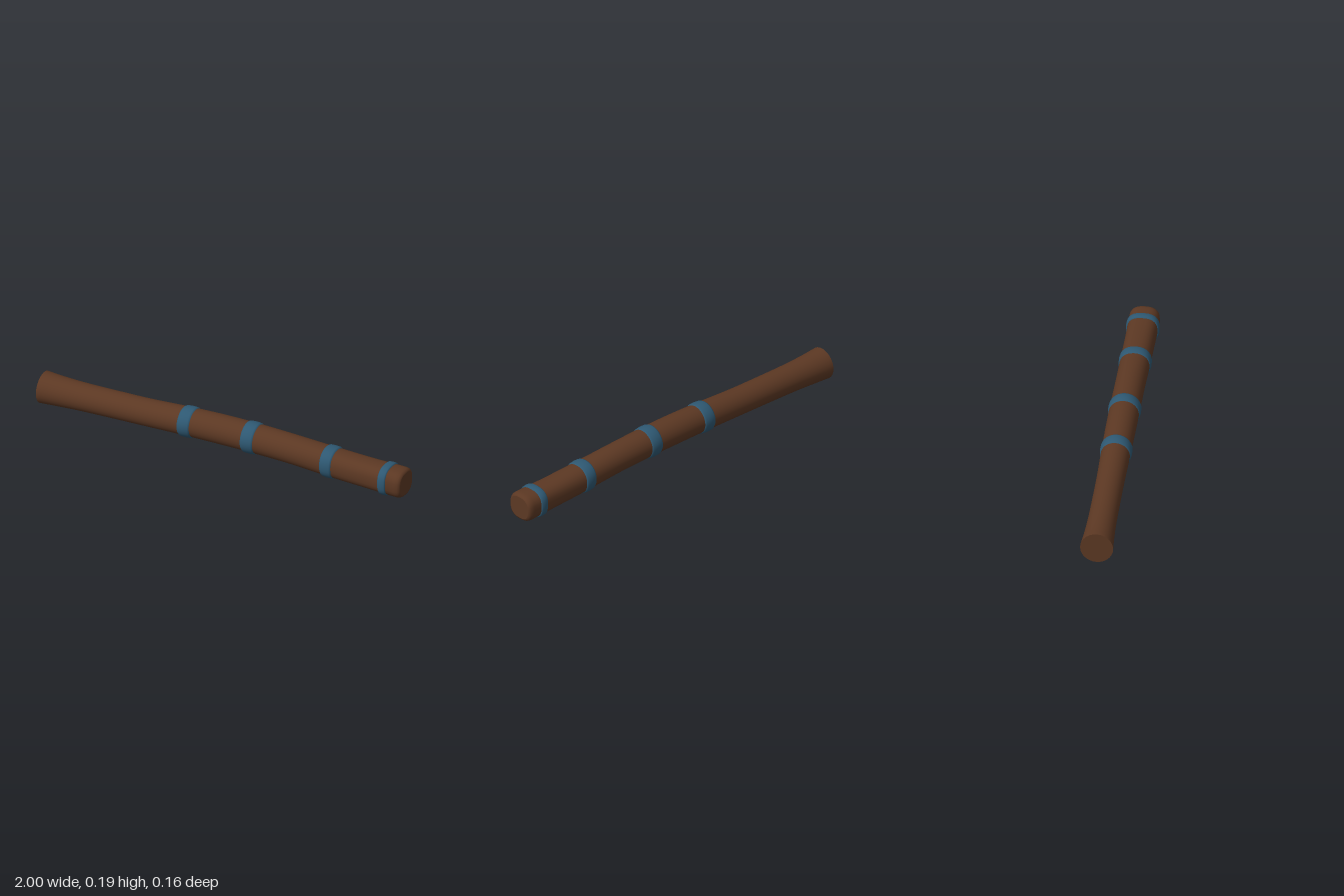
import * as THREE from 'three';

const SIDES = 28;
const wood = new THREE.MeshStandardMaterial({ color: 0x5c3823 });
wood.name = 'brown wood';
const wrap = new THREE.MeshStandardMaterial({ color: 0x2e5872 });
wrap.name = 'blue wrap';

// Stick stations: x, centre height, radius
const stations = [
  [-1, 0.088, 0.081], [-0.92, 0.088, 0.076], [-0.8, 0.09, 0.071], [-0.6, 0.095, 0.069],
  [-0.42, 0.1, 0.069], [-0.2, 0.11, 0.072], [0, 0.115, 0.074], [0.16, 0.115, 0.074],
  [0.36, 0.11, 0.073], [0.59, 0.098, 0.072], [0.8, 0.09, 0.07], [0.94, 0.087, 0.071], [0.975, 0.086, 0.071],
];

// Linear lookup of centre height and radius at x
function at(x) {
  let i = 0;
  while (i < stations.length - 2 && stations[i + 1][0] < x) i++;
  const [a, b] = [stations[i], stations[i + 1]];
  const t = (x - a[0]) / (b[0] - a[0]);
  return [x, a[1] + (b[1] - a[1]) * t, a[2] + (b[2] - a[2]) * t];
}

// The section turns from round to slightly squared towards the +x end
function ring([x, cy, r]) {
  const s = THREE.MathUtils.smoothstep(x, 0.3, 1);
  const power = 2 / (2 + 0.6 * s);
  const bend = (v) => Math.sign(v) * Math.abs(v) ** power;
  const points = [];
  for (let j = 0; j <= SIDES; j++) {
    const a = (j / SIDES) * Math.PI * 2;
    points.push(x, cy + r * bend(Math.cos(a)), -0.003 + r * (1 + 0.06 * s) * bend(Math.sin(a)));
  }
  return points;
}

// Skin a row of rings running along +x
function loft(rows) {
  const position = rows.flatMap(ring);
  const index = [];
  const n = SIDES + 1;
  for (let i = 0; i < rows.length - 1; i++) {
    for (let j = 0; j < SIDES; j++) {
      const a = i * n + j, c = a + n;
      index.push(a, a + 1, c, a + 1, c + 1, c);
    }
  }
  const g = new THREE.BufferGeometry();
  g.setAttribute('position', new THREE.Float32BufferAttribute(position, 3));
  g.setIndex(index);
  g.computeVertexNormals();
  // Share the normal across the seam
  const normal = g.attributes.normal;
  for (let i = 0; i < rows.length; i++) {
    const a = i * n, b = a + SIDES;
    const v = new THREE.Vector3().fromBufferAttribute(normal, a)
      .add(new THREE.Vector3().fromBufferAttribute(normal, b)).normalize();
    normal.setXYZ(a, v.x, v.y, v.z);
    normal.setXYZ(b, v.x, v.y, v.z);
  }
  return g;
}

// Flat end disc, facing +x or -x
function cap(row, facing) {
  const position = [row[0], row[1], -0.003, ...ring(row)];
  const index = [];
  for (let j = 1; j <= SIDES; j++) index.push(0, ...(facing > 0 ? [j, j + 1] : [j + 1, j]));
  const g = new THREE.BufferGeometry();
  g.setAttribute('position', new THREE.Float32BufferAttribute(position, 3));
  g.setIndex(index);
  g.computeVertexNormals();
  return g;
}

export function createModel() {
  const group = new THREE.Group();
  const add = (name, geometry, material) => {
    const mesh = new THREE.Mesh(geometry, material);
    mesh.name = name;
    group.add(mesh);
  };

  // Smoothly bowed stick with a rounded tip
  const curve = new THREE.CatmullRomCurve3(stations.map((s) => new THREE.Vector3(...s)));
  const rows = curve.getPoints(48).map((p) => [p.x, p.y, p.z]);
  rows.push([0.988, 0.086, 0.069], [0.997, 0.086, 0.064], [1, 0.086, 0.057]);
  add('stick', loft(rows), wood);
  add('wideEnd', cap(rows[0], -1), wood);
  add('tip', cap(rows[rows.length - 1], 1), wood);

  // Wrapped bands: centre x and width
  const bands = [[-0.195, 0.07], [0.155, 0.07], [0.59, 0.064], [0.902, 0.044]];
  const section = [[-0.5, -0.003], [-0.47, 0.002], [-0.36, 0.0055], [0, 0.007], [0.36, 0.0055], [0.47, 0.002], [0.5, -0.003]];
  bands.forEach(([x, width], i) => {
    const bandRows = section.map(([t, lift]) => {
      const [px, cy, r] = at(x + t * width);
      return [px, cy, r + lift];
    });
    add(`band${i + 1}`, loft(bandRows), wrap);
  });

  // Rest the lowest point on the ground
  const box = new THREE.Box3().setFromObject(group);
  group.children.forEach((m) => { m.position.y -= box.min.y; });
  return group;
}
